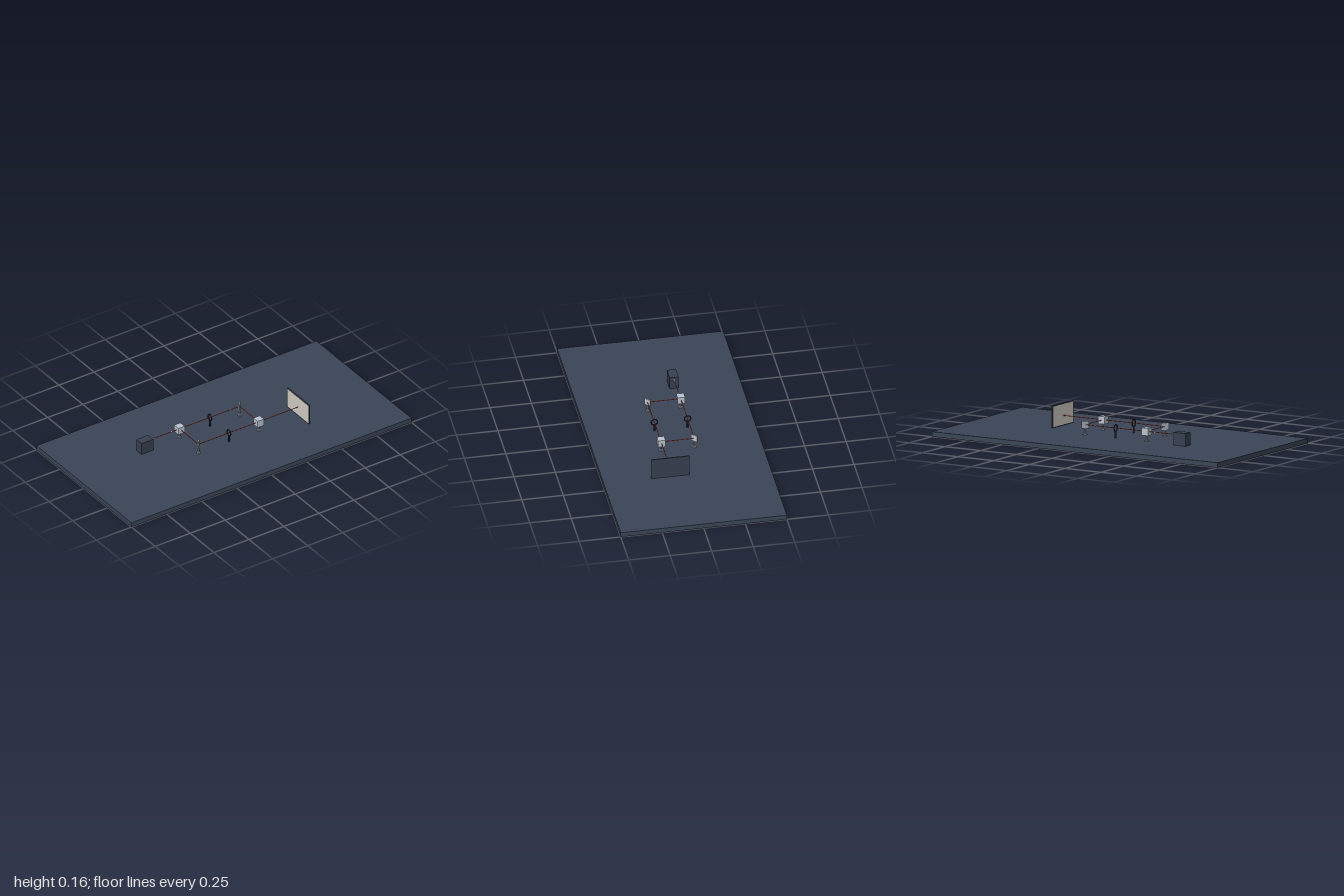
import * as THREE from 'three';

const mat = (name, color, extra = {}) => {
  const m = new THREE.MeshStandardMaterial({ color, ...extra });
  m.name = name;
  return m;
};

export function createModel() {
  const slate = mat('slate', 0x3b4658);
  const housing = mat('housing', 0x374151);
  const black = mat('black', 0x1f242c);
  const metal = mat('metal', 0x9aa2ac);
  const mirrorFace = mat('mirror', 0xc5ccd6);
  const glass = mat('glass', 0xbcc5d4);
  const red = mat('beam red', 0xd8401f);
  const paper = mat('paper', 0xd6d0c8);

  const root = new THREE.Group();
  root.name = 'opticalBench';
  const TOP = 0.03, BEAM = 0.09;

  const add = (parent, name, geo, material, x, y, z) => {
    const m = new THREE.Mesh(geo, material);
    m.name = name;
    m.position.set(x, y, z);
    parent.add(m);
    return m;
  };
  const group = (name, x, z) => {
    const g = new THREE.Group();
    g.name = name;
    g.position.set(x, 0, z);
    root.add(g);
    return g;
  };
  const box = (w, h, d) => new THREE.BoxGeometry(w, h, d);
  const cyl = (r, h, n = 20) => new THREE.CylinderGeometry(r, r, h, n);

  // Post with a small round foot
  const post = (g, height, material) => {
    add(g, 'foot', cyl(0.013, 0.005), material, 0, TOP + 0.0025, 0);
    add(g, 'post', cyl(0.005, height), material, 0, TOP + height / 2, 0);
  };

  add(root, 'table', box(2, TOP, 1), slate, 0, TOP / 2, 0);

  // Light source with its nozzle
  const laser = group('laser', -0.497, -0.1);
  add(laser, 'laserBody', box(0.085, 0.077, 0.055), housing, 0, TOP + 0.0385, 0);
  add(laser, 'nozzle', cyl(0.006, 0.02), metal, 0.0525, BEAM, 0).rotation.z = Math.PI / 2;

  // Cube beam splitters
  for (const [x, z] of [[-0.25, -0.1], [0.18, 0.1]]) {
    const g = group('beamSplitter', x, z);
    post(g, 0.04, metal);
    add(g, 'cube', box(0.045, 0.045, 0.045), glass, 0, BEAM, 0);
  }

  // Diagonal mirrors facing each other across the square
  for (const [x, z] of [[0.18, -0.1], [-0.25, 0.1]]) {
    const g = group('mirrorMount', x, z);
    post(g, 0.04, metal);
    g.rotation.y = Math.PI / 4;
    add(g, 'mirrorBack', box(0.046, 0.045, 0.005), metal, 0, BEAM, -0.0035);
    add(g, 'mirrorPlate', box(0.042, 0.041, 0.003), mirrorFace, 0, BEAM, 0.0004);
  }

  // Ring filters in both arms
  for (const z of [-0.1, 0.1]) {
    const g = group('ringFilter', -0.033, z);
    add(g, 'ring', new THREE.TorusGeometry(0.019, 0.004, 10, 32), black, 0, BEAM, 0).rotation.y = Math.PI / 2;
    add(g, 'ringPost', cyl(0.0055, 0.038), black, 0, TOP + 0.019, 0);
  }

  // Light paths: start and end in x, z
  const paths = [
    [-0.435, -0.1, 0.18, -0.1], [-0.25, -0.1, -0.25, 0.1],
    [-0.25, 0.1, 0.18, 0.1], [0.18, -0.1, 0.18, 0.1], [0.18, 0.1, 0.461, 0.1],
  ];
  for (const [x0, z0, x1, z1] of paths) {
    const len = Math.hypot(x1 - x0, z1 - z0);
    const b = add(root, 'beam', cyl(0.0022, len, 10), red, (x0 + x1) / 2, BEAM, (z0 + z1) / 2);
    if (x0 === x1) b.rotation.x = Math.PI / 2;
    else b.rotation.z = Math.PI / 2;
  }

  // Small markers on the rear beam
  for (const [x, material] of [[-0.307, paper], [0.112, metal]]) {
    add(root, 'beamMarker', new THREE.SphereGeometry(0.006, 14, 10), material, x, BEAM, -0.1);
  }

  // Viewing screen with a pale face towards the light source
  const screen = group('screen', 0.465, 0.1);
  add(screen, 'screenPanel', box(0.007, 0.133, 0.23), housing, 0, TOP + 0.0665, 0);
  add(screen, 'screenFace', box(0.002, 0.123, 0.22), paper, -0.0038, TOP + 0.0665, 0);

  return root;
}
